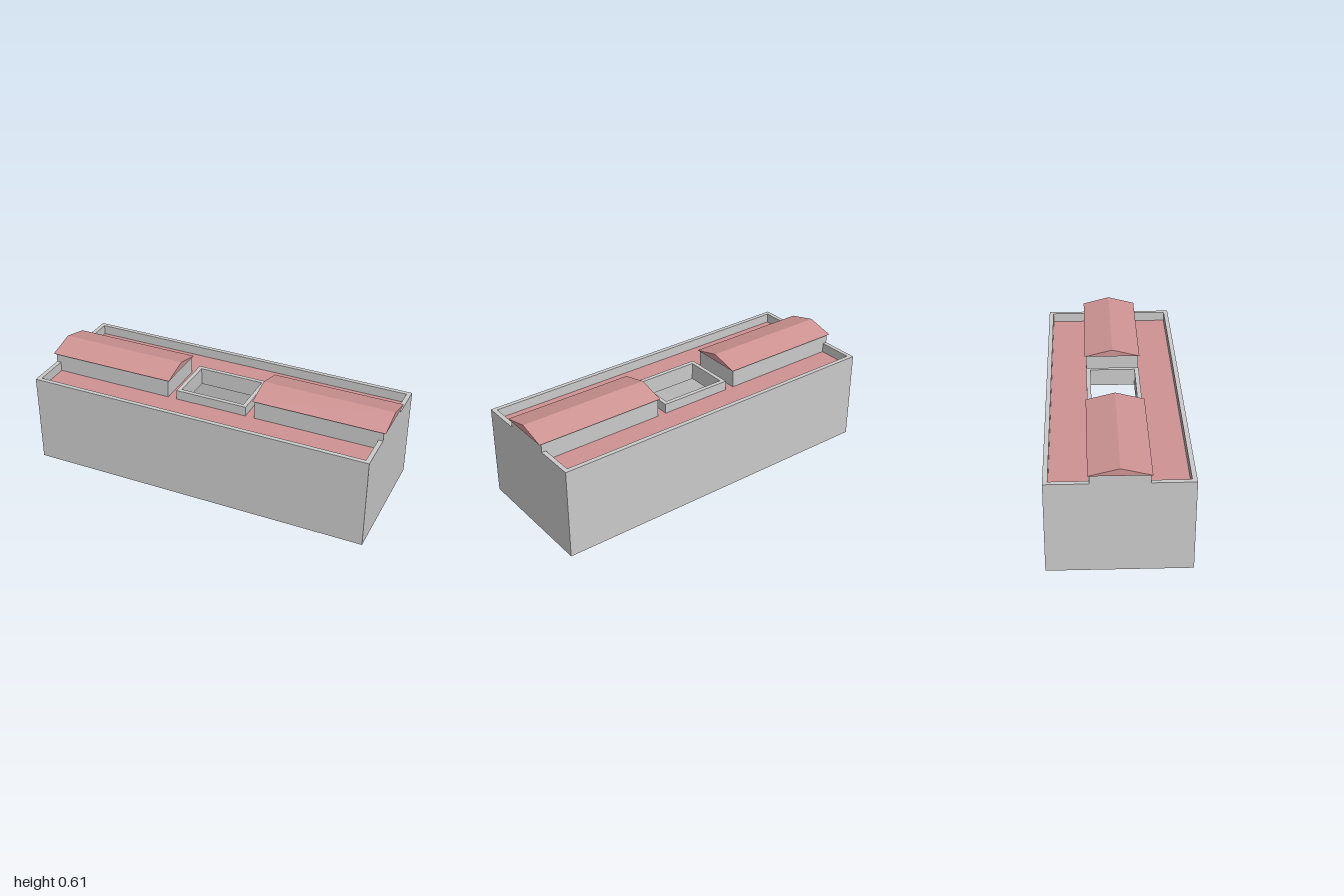
import * as THREE from 'three';

const grey = new THREE.MeshStandardMaterial({ color: 0xcccccc, side: THREE.DoubleSide });
const red = new THREE.MeshStandardMaterial({ color: 0xd09494 });

// Half sizes in x and z
const OUTER = [0.985, 0.375], INNER = [0.96, 0.35];
const COURT_OUTER = [0.21, 0.15], COURT_INNER = [0.187, 0.126];
const SKIRT_TOP = 0.108, SLAB_BOTTOM = 0.42, ROOF = 0.465, PARAPET = 0.52, EAVE = 0.572, RIDGE = 0.612;

function mesh(name, geometry, material) {
  const m = new THREE.Mesh(geometry, material);
  m.name = name;
  return m;
}

function corners([x, z]) {
  return [[-x, -z], [x, -z], [x, z], [-x, z]].map(([a, b]) => new THREE.Vector2(a, b));
}

// Rectangular frame between heights y0 and y1
function frame(outer, inner, y0, y1) {
  const shape = new THREE.Shape(corners(outer));
  shape.holes.push(new THREE.Path(corners(inner)));
  return new THREE.ExtrudeGeometry(shape, { depth: y1 - y0, bevelEnabled: false })
    .rotateX(-Math.PI / 2).translate(0, y0, 0);
}

export function createModel() {
  const model = new THREE.Group();
  const building = new THREE.Group();
  building.name = 'building';
  building.rotation.y = -0.012;
  model.add(building);

  // Outer walls with parapet, standing on a thin skirt
  building.add(mesh('walls', frame(OUTER, INNER, SKIRT_TOP, PARAPET), grey));
  for (let i = 0; i < 4; i++) {
    const [w, d] = i % 2 ? OUTER : [OUTER[1], OUTER[0]];
    const side = new THREE.PlaneGeometry(w * 2, SKIRT_TOP)
      .translate(0, SKIRT_TOP / 2, d).rotateY((i + 1) * Math.PI / 2);
    building.add(mesh('wallSkirt', side, grey));
  }

  // Flat roof slab, its covering and the courtyard rim
  building.add(mesh('roofSlab', frame(INNER, COURT_OUTER, SLAB_BOTTOM, ROOF - 0.004), grey));
  building.add(mesh('flatRoof', frame(INNER, COURT_OUTER, ROOF - 0.004, ROOF), red));
  building.add(mesh('courtyardRim', frame(COURT_OUTER, COURT_INNER, SLAB_BOTTOM, PARAPET), grey));

  // Gabled blocks at both ends
  for (const s of [1, -1]) {
    const block = new THREE.Group();
    block.name = s > 0 ? 'leftRoofBlock' : 'rightRoofBlock';
    const walls = new THREE.BoxGeometry(0.723, EAVE - ROOF, 0.3)
      .translate(s * 0.6235, (EAVE + ROOF) / 2, 0);
    block.add(mesh('blockWalls', walls, grey));

    const gable = new THREE.Shape([
      new THREE.Vector2(-0.158, EAVE), new THREE.Vector2(0.158, EAVE), new THREE.Vector2(0, RIDGE),
    ]);
    const roof = new THREE.ExtrudeGeometry(gable, { depth: 0.746, bevelEnabled: false })
      .translate(0, 0, -0.373).rotateY(Math.PI / 2).translate(s * 0.625, 0, 0);
    block.add(mesh('gabledRoof', roof, red));
    building.add(block);
  }
  return model;
}
